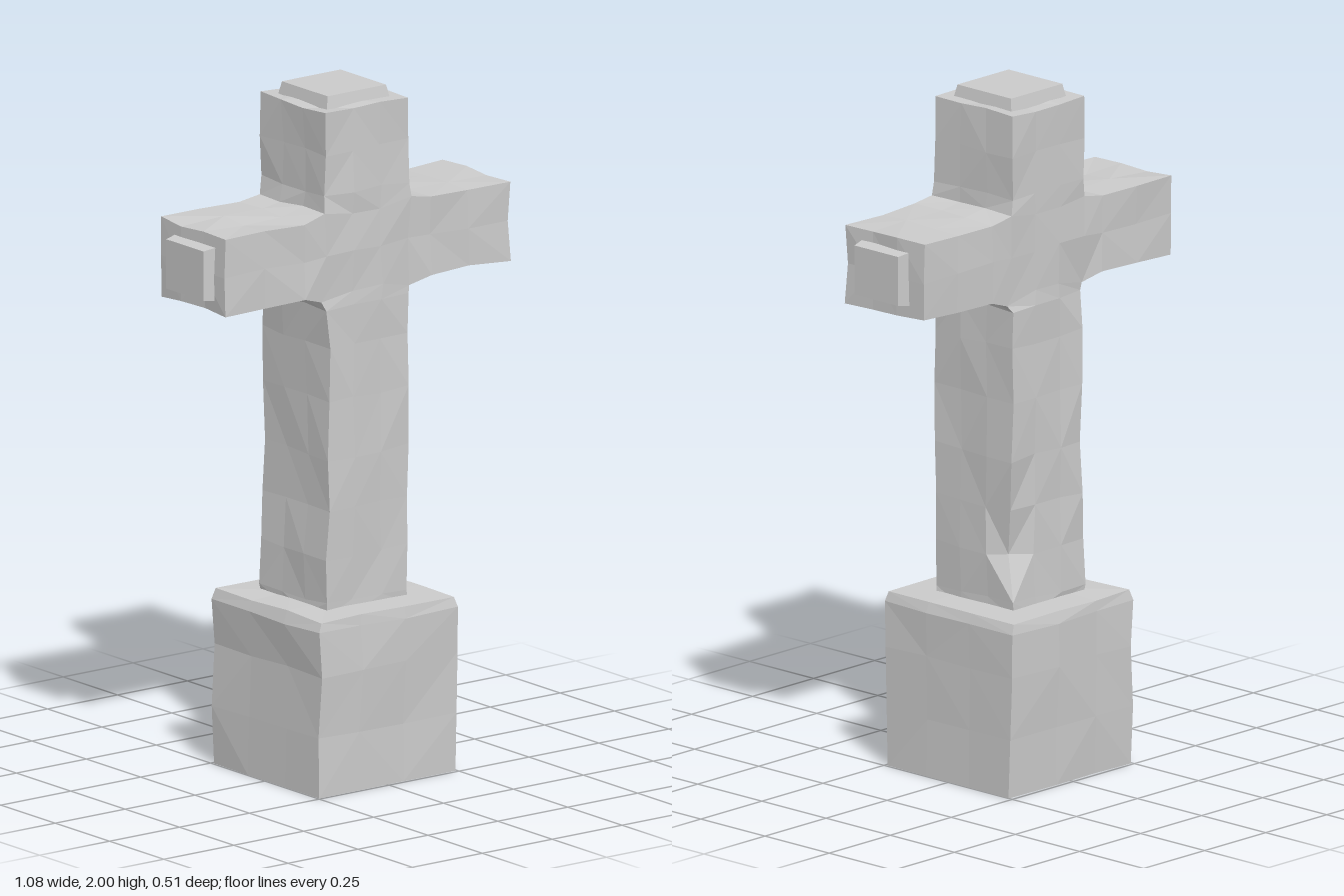
import * as THREE from 'three';

const stone = new THREE.MeshStandardMaterial({ color: 0xcccccc, flatShading: true });

// Repeatable noise in -1..1 from three grid indices
function noise(i, j, k, seed) {
  const s = Math.sin(i * 127.1 + j * 311.7 + k * 74.7 + seed * 53.3) * 43758.5453;
  return (s - Math.floor(s)) * 2 - 1;
}

// Rough hewn skin around the filled cells of an uneven grid.
// filled(x, y) tests a cell centre; carve(v) shapes each corner point.
function hewnBlock(name, lines, filled, carve, rough, seed) {
  const size = lines.map((l) => l.length - 1);
  const isFilled = (c) => {
    if (c.some((n, a) => n < 0 || n >= size[a])) return false;
    const mid = c.map((n, a) => (lines[a][n] + lines[a][n + 1]) / 2);
    return filled(mid[0], mid[1]);
  };
  const positions = [], index = [], known = new Map();
  const corner = (c) => {
    const key = c.join();
    if (!known.has(key)) {
      const v = new THREE.Vector3(...c.map((n, a) => lines[a][n]));
      const onGround = v.y === 0;
      carve(v);
      v.x += rough * noise(...c, seed);
      if (!onGround) v.y += rough * noise(...c, seed + 1);
      v.z += rough * noise(...c, seed + 2);
      known.set(key, positions.length / 3);
      positions.push(v.x, v.y, v.z);
    }
    return known.get(key);
  };
  for (let i = 0; i < size[0]; i++)
    for (let j = 0; j < size[1]; j++)
      for (let k = 0; k < size[2]; k++) {
        const cell = [i, j, k];
        if (!isFilled(cell)) continue;
        for (let a = 0; a < 3; a++)
          for (const side of [0, 1]) {
            const next = [...cell];
            next[a] += side ? 1 : -1;
            if (isFilled(next)) continue;
            const quad = [[0, 0], [1, 0], [1, 1], [0, 1]].map(([p, q]) => {
              const c = [...cell];
              c[a] += side;
              c[(a + 1) % 3] += p;
              c[(a + 2) % 3] += q;
              return corner(c);
            });
            if (!side) quad.reverse();
            const [A, B, C, D] = quad;
            if (noise(i, j, k, seed + a) > 0) index.push(A, B, C, A, C, D);
            else index.push(A, B, D, B, C, D);
          }
      }
  const geometry = new THREE.BufferGeometry();
  geometry.setAttribute('position', new THREE.Float32BufferAttribute(positions, 3));
  geometry.setIndex(index);
  geometry.computeVertexNormals();
  const mesh = new THREE.Mesh(geometry, stone);
  mesh.name = name;
  return mesh;
}

// Square tapered boss, widest at its foot, rising along +y
function boss(name, width, depth, height, taper) {
  const geometry = new THREE.CylinderGeometry(taper * Math.SQRT1_2, Math.SQRT1_2, height, 4);
  geometry.rotateY(Math.PI / 4);
  geometry.scale(width, 1, depth);
  const mesh = new THREE.Mesh(geometry, stone);
  mesh.name = name;
  return mesh;
}

// Plinth edges: worn top rim and shallow hollows in the sides
function carvePlinth(v) {
  if (v.y > 0.5) {
    v.x *= 0.97;
    v.z *= 0.97;
  }
  if (v.y > 0.3 && v.y < 0.4 && v.x < 0) v.x *= 0.96;
  if (v.y < 0.25 && v.z > 0.2) v.z -= 0.008;
  if (v.y < 0.3 && v.z < -0.2) v.z += 0.012 - 0.03 * v.y;
}

// Cross: filleted inner corners, narrowed waist, chipped back edge
function carveCross(v) {
  const edge = Math.abs(Math.abs(v.x) - 0.147) < 0.01;
  const side = Math.sign(v.x);
  if (edge && v.y === 1.435) {
    v.x += side * 0.012;
    v.y -= 0.025;
  } else if (edge && v.y === 1.66) {
    v.x += side * 0.005;
    v.y += 0.012;
  } else if (edge && v.x < 0 && v.y > 0.7 && v.y < 1.3) {
    v.x += 0.01;
  }
  if (v.x > 0.1 && v.x < 0.2 && v.z < -0.1 && v.y > 0.6 && v.y < 0.9) {
    const depth = v.y < 0.75 ? 0.045 : 0.025;
    v.x -= depth * 0.6;
    v.z += depth;
  }
  if (edge && v.x < 0 && v.z < -0.1 && v.y > 1.35 && v.y < 1.42) v.z += 0.02;
  // the arms sit slightly askew
  if (Math.abs(v.x) > 0.18) v.z += side * 0.006;
  if (v.x < -0.18) v.y -= 0.006;
}

export function createModel() {
  const group = new THREE.Group();
  group.name = 'stoneCross';

  group.add(hewnBlock('plinth', [
    [-0.247, -0.1, 0.06, 0.247],
    [0, 0.17, 0.35, 0.48, 0.512],
    [-0.25, -0.08, 0.09, 0.249],
  ], () => true, carvePlinth, 0.004, 3));

  group.add(hewnBlock('cross', [
    [-0.504, -0.36, -0.22, -0.148, -0.05, 0.05, 0.145, 0.22, 0.36, 0.502],
    [0.49, 0.53, 0.66, 0.8, 0.95, 1.12, 1.28, 1.39, 1.435, 1.55, 1.66, 1.72, 1.84, 1.965],
    [-0.15, -0.05, 0.05, 0.15],
  ], (x, y) => Math.abs(x) < 0.147 || (y > 1.435 && y < 1.66), carveCross, 0.005, 11));

  // Bosses on the head and on both arm ends
  const top = boss('topBoss', 0.23, 0.23, 0.05, 0.91);
  top.position.set(-0.003, 1.975, 0);
  group.add(top);
  for (const side of [-1, 1]) {
    const end = boss(side > 0 ? 'leftBoss' : 'rightBoss', 0.16, 0.19, 0.05, 0.9);
    end.rotation.z = -side * Math.PI / 2;
    end.position.set(side * 0.515, 1.546 + side * 0.004, 0.004);
    group.add(end);
  }
  return group;
}
